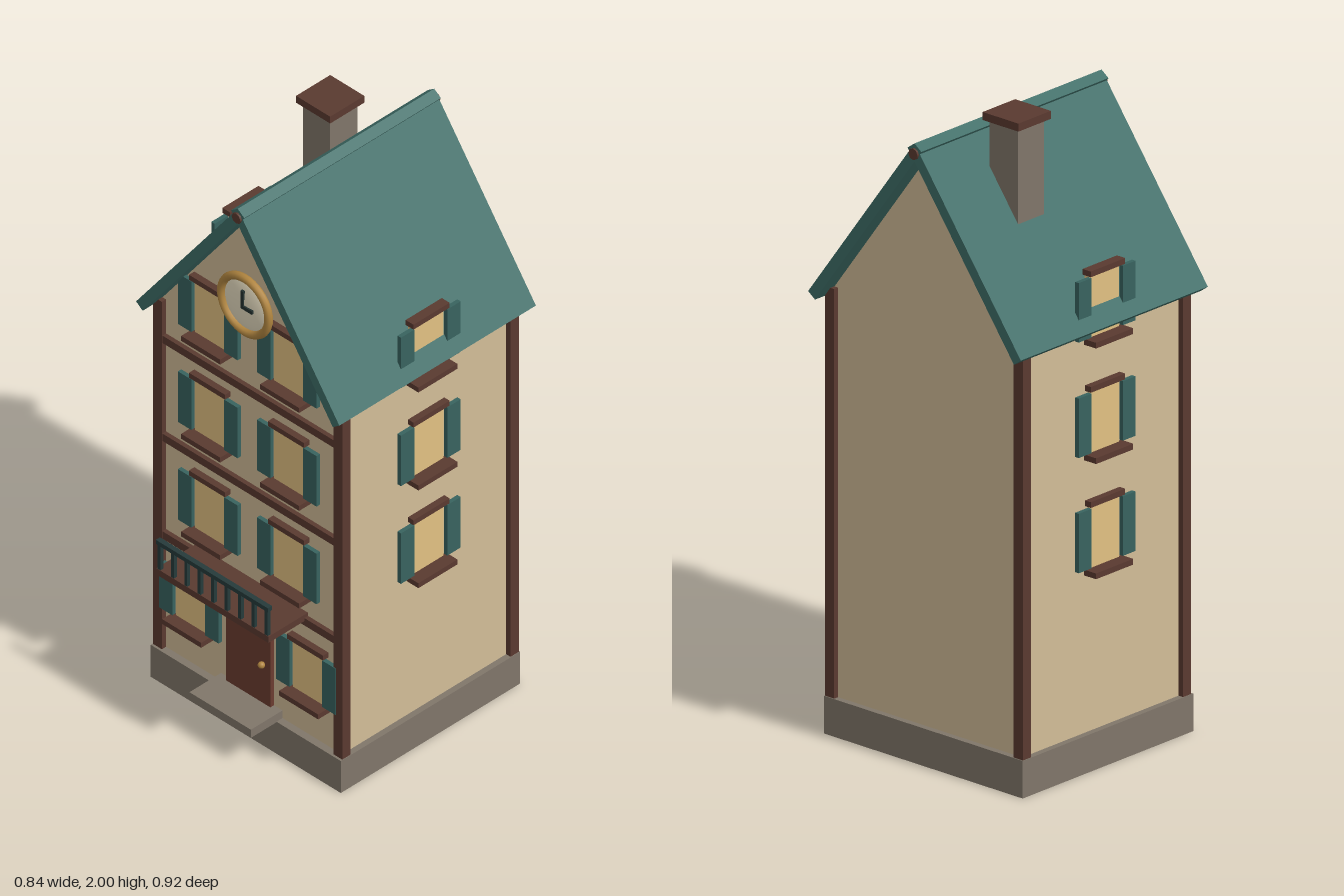
import * as THREE from 'three';

const mat = (color) => new THREE.MeshStandardMaterial({ color });
const WALL = mat(0xd2bd98), WOOD = mat(0x5a3a30), STONE = mat(0x80766a), ROOF = mat(0x3f6e68);
const GLASS = mat(0xe2c182), SHUTTER = mat(0x38635f), DOOR = mat(0x6b3c30), IRON = mat(0x263b3b);
const GOLD = mat(0xb08540), CREAM = mat(0xe6dcc0), BLACK = mat(0x24312f);

const HALF = 0.37, FRONT = 0.295, BACK = -0.395, MID = -0.05;

function add(parent, name, geo, material, x = 0, y = 0, z = 0) {
  const mesh = new THREE.Mesh(geo, material);
  mesh.name = name;
  mesh.position.set(x, y, z);
  parent.add(mesh);
  return mesh;
}

// box given by its low and high limits on each axis
function box(parent, name, material, [x0, x1], [y0, y1], [z0, z1]) {
  return add(parent, name, new THREE.BoxGeometry(x1 - x0, y1 - y0, z1 - z0), material,
    (x0 + x1) / 2, (y0 + y1) / 2, (z0 + z1) / 2);
}

// window lying on the z = 0 plane, facing +z
function makeWindow(name, h) {
  const g = new THREE.Group();
  g.name = name;
  box(g, 'pane', GLASS, [-0.065, 0.065], [-h / 2, h / 2], [-0.01, 0.006]);
  box(g, 'lintel', WOOD, [-0.074, 0.074], [h / 2, h / 2 + 0.018], [-0.01, 0.022]);
  box(g, 'sill', WOOD, [-0.08, 0.08], [-h / 2 - 0.018, -h / 2], [-0.01, 0.048]);
  for (const s of [-1, 1]) {
    add(g, 'shutter', new THREE.BoxGeometry(0.055, h - 0.01, 0.014), SHUTTER, s * 0.095, 0, 0.012);
  }
  return g;
}

function makeClock() {
  const g = new THREE.Group();
  g.name = 'clock';
  add(g, 'clockRim', new THREE.TorusGeometry(0.097, 0.013, 10, 40), GOLD, 0, 0, 0.012);
  const face = add(g, 'clockFace', new THREE.SphereGeometry(0.096, 32, 16), CREAM);
  face.scale.z = 0.22;
  box(g, 'minuteHand', BLACK, [-0.005, 0.005], [-0.005, 0.058], [0.018, 0.026]);
  box(g, 'hourHand', BLACK, [-0.005, 0.042], [-0.006, 0.006], [0.018, 0.026]);
  return g;
}

export function createModel() {
  const house = new THREE.Group();
  house.name = 'townHouse';

  // plinth and walls with gables
  box(house, 'plinth', STONE, [-0.39, 0.39], [0, 0.117], [-0.415, 0.32]);
  const outline = new THREE.Shape([[-HALF, 0.115], [HALF, 0.115], [HALF, 1.385], [0, 1.888], [-HALF, 1.385]]
    .map(([x, y]) => new THREE.Vector2(x, y)));
  add(house, 'walls', new THREE.ExtrudeGeometry(outline, { depth: FRONT - BACK, bevelEnabled: false }), WALL, 0, 0, BACK);

  // corner posts
  for (const x of [-HALF, HALF]) {
    for (const z of [FRONT, BACK]) {
      add(house, 'cornerPost', new THREE.BoxGeometry(0.036, 1.275, 0.034), WOOD, x, 0.7525, z);
    }
  }

  // floor beams on the front
  for (const y of [0.535, 0.893, 1.252]) {
    add(house, 'floorBeam', new THREE.BoxGeometry(0.72, 0.027, 0.03), WOOD, 0, y, FRONT);
  }

  // two roof slabs crossing at the ridge
  const run = 0.417, drop = 0.567, thick = 0.0335, length = Math.hypot(run, drop);
  for (const s of [-1, 1]) {
    const pivot = new THREE.Group();
    pivot.name = 'roofSlope';
    pivot.position.set(0, 1.946, MID);
    pivot.rotation.z = -s * Math.atan2(drop, run);
    add(pivot, 'roofSlab', new THREE.BoxGeometry(length, thick, 0.806), ROOF, s * length / 2, -thick / 2, 0);
    house.add(pivot);
  }
  const ridge = add(house, 'ridgeBeam', new THREE.CylinderGeometry(0.018, 0.018, 0.82, 8), WOOD, 0, 1.914, MID);
  ridge.rotation.x = Math.PI / 2;

  // chimney
  box(house, 'chimneyStack', STONE, [-0.196, -0.084], [1.55, 1.977], [-0.222, -0.11]);
  box(house, 'chimneyCap', WOOD, [-0.21, -0.07], [1.975, 2], [-0.236, -0.096]);

  // windows: front pairs, ground floor pair, and one per upper floor on each side
  for (const s of [-1, 1]) {
    const ground = makeWindow('groundWindow', 0.18);
    ground.position.set(s * 0.24, 0.352, FRONT);
    house.add(ground);
    for (const y of [0.723, 1.081, 1.44]) {
      const front = makeWindow('frontWindow', 0.195);
      front.position.set(s * 0.162, y, FRONT);
      const side = makeWindow('sideWindow', 0.195);
      side.position.set(s * HALF, y, MID);
      side.rotation.y = s * Math.PI / 2;
      house.add(front, side);
    }
  }

  // door and doorstep
  box(house, 'door', DOOR, [-0.091, 0.091], [0.14, 0.472], [0.28, 0.31]);
  box(house, 'doorLintel', WOOD, [-0.115, 0.115], [0.47, 0.495], [0.28, 0.328]);
  box(house, 'doorstep', STONE, [-0.126, 0.126], [0.115, 0.145], [0.28, 0.425]);
  add(house, 'doorKnob', new THREE.SphereGeometry(0.011, 16, 12), GOLD, 0.063, 0.29, 0.319);

  // balcony with a front railing
  box(house, 'balconyFloor', WOOD, [-0.23, 0.23], [0.537, 0.56], [0.29, 0.457]);
  box(house, 'balconyRail', IRON, [-0.23, 0.23], [0.65, 0.665], [0.442, 0.459]);
  for (let i = 0; i < 9; i++) {
    add(house, 'baluster', new THREE.BoxGeometry(0.012, 0.1, 0.012), IRON, -0.22 + i * 0.055, 0.605, 0.45);
  }

  // gable clock
  const clock = makeClock();
  clock.position.set(0, 1.577, FRONT + 0.016);
  house.add(clock);

  return house;
}
